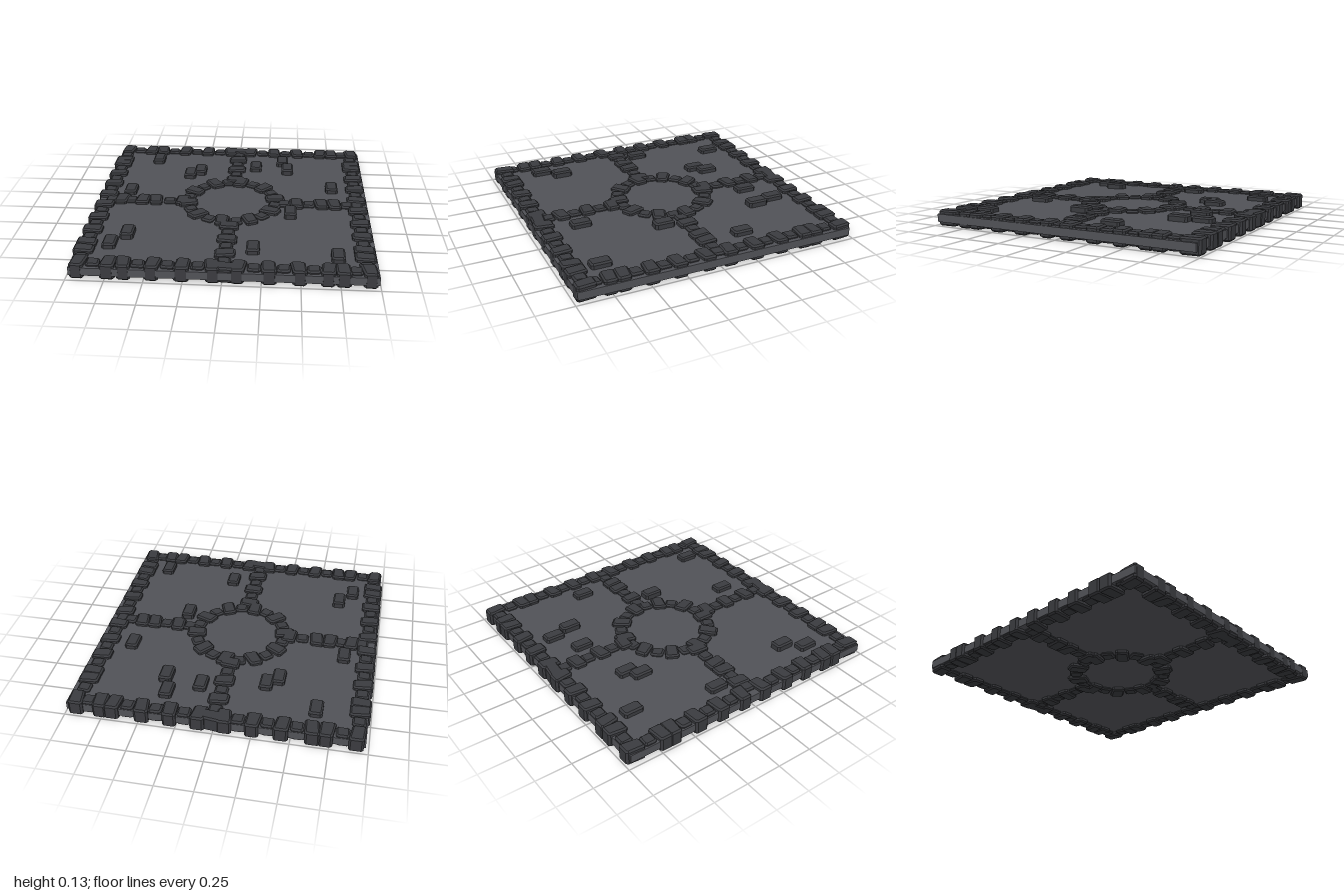
import * as THREE from 'three';

const stoneMat = new THREE.MeshStandardMaterial({ color: 0x3a3b3f, flatShading: true });
const slabMat = new THREE.MeshStandardMaterial({ color: 0x515257, flatShading: true });

// Chamfered block standing from y0 to y1; skew shears its long (z) ends, taper narrows one end
function blockGeometry(w, d, y0, y1, skew = 0, taper = 0, bevel = 0.011) {
  const hx = w / 2 - bevel, hz = d / 2 - bevel, c = 0.007;
  const outline = [
    [-hx + c, -hz], [hx - c, -hz], [hx, -hz + c], [hx, hz - c],
    [hx - c, hz], [-hx + c, hz], [-hx, hz - c], [-hx, -hz + c],
  ].map(([x, z]) => {
    const t = z / hz;
    return new THREE.Vector2(x * (1 + taper * t) + skew * t, z);
  });
  const geo = new THREE.ExtrudeGeometry(new THREE.Shape(outline), {
    depth: y1 - y0 - 2 * bevel, bevelEnabled: true, bevelSegments: 1,
    bevelSize: bevel, bevelThickness: bevel,
  });
  return geo.rotateX(-Math.PI / 2).translate(0, y0 + bevel, 0);
}

// A few stone shapes shared by all the courses
const large = [[0.006, 0.05], [-0.007, 0.06], [0.004, -0.07], [-0.004, -0.04]]
  .map(([s, t]) => blockGeometry(0.094, 0.136, 0.005, 0.115, s, t));
const small = [[0.002, 0.02], [-0.002, -0.03]]
  .map(([s, t]) => blockGeometry(0.087, 0.09, 0.014, 0.106, s, t));
const looseBrick = blockGeometry(0.09, 0.144, 0.06, 0.125);

function addStone(group, name, geo, x, z, angle = 0, y = 0) {
  const mesh = new THREE.Mesh(geo, stoneMat);
  mesh.name = name;
  mesh.position.set(x, y, z);
  mesh.rotation.y = angle;
  group.add(mesh);
}

// Lay one course: 'along' holds positions, 'kinds' holds L (large) or S (small)
function addCourse(parent, name, along, kinds, offset, alongX) {
  const group = new THREE.Group();
  group.name = name;
  along.forEach((p, i) => {
    const set = kinds[i] === 'L' ? large : small;
    const geo = set[(i * 3 + (i >> 2)) % set.length];
    if (alongX) addStone(group, 'stone', geo, p, offset);
    else addStone(group, 'stone', geo, offset, p, Math.PI / 2);
  });
  parent.add(group);
}

export function createModel() {
  const model = new THREE.Group();
  model.name = 'stoneFloorTile';

  // Base slab
  const slab = new THREE.Mesh(new THREE.BoxGeometry(1.97, 0.055, 1.955), slabMat);
  slab.name = 'slab';
  slab.position.set(0.005, 0.06, 0.005);
  model.add(slab);

  // Border courses, front/back then left/right
  const rowX = [-0.925, -0.83, -0.73, -0.635, -0.54, -0.445, -0.35, -0.255, -0.155, -0.065,
    0.1, 0.2, 0.295, 0.39, 0.485, 0.58, 0.675, 0.765, 0.845, 0.93];
  const rowKinds = 'LSLLSLSLSLLSLSLSLLSL';
  addCourse(model, 'backBorder', rowX, rowKinds, -0.925, true);
  addCourse(model, 'frontBorder', rowX, rowKinds, 0.915, true);
  const colZ = [-0.81, -0.715, -0.635, -0.54, -0.445, -0.35, -0.26, -0.16, -0.07,
    0.095, 0.195, 0.295, 0.39, 0.48, 0.58, 0.665, 0.755, 0.855];
  const colKinds = 'SLLSLSLSLLSLSLSLLS';
  addCourse(model, 'rightBorder', colZ, colKinds, -0.925, false);
  addCourse(model, 'leftBorder', colZ, colKinds, 0.915, false);

  // Stones where the cross meets the border
  const joints = new THREE.Group();
  joints.name = 'crossJoints';
  for (const z of [-0.935, 0.925]) addStone(joints, 'jointStone', large[0], 0.01, z, Math.PI / 2);
  for (const x of [-0.885, 0.91]) addStone(joints, 'jointStone', small[0], x, 0.01);
  model.add(joints);

  // Four arms of the cross
  addCourse(model, 'backArm', [-0.86, -0.76, -0.67, -0.57, -0.475, -0.375], 'SLSLSL', 0.005, false);
  addCourse(model, 'frontArm', [0.375, 0.47, 0.565, 0.66, 0.755, 0.85], 'LSLSLS', 0.005, false);
  addCourse(model, 'rightArm', [-0.81, -0.74, -0.655, -0.56, -0.455, -0.36], 'LSLLSL', 0.005, true);
  addCourse(model, 'leftArm', [0.385, 0.475, 0.565, 0.655, 0.75, 0.84], 'SLSLLS', 0.005, true);

  // Central ring
  const ring = new THREE.Group();
  ring.name = 'centralRing';
  const count = 20;
  for (let i = 0; i < count; i++) {
    const a = ((i + 0.5) / count) * Math.PI * 2;
    const geo = i % 2 ? large[(i >> 1) % 4] : small[(i >> 1) % 2];
    addStone(ring, 'ringStone', geo, Math.sin(a) * 0.32, -0.015 + Math.cos(a) * 0.32, a);
  }
  model.add(ring);

  // Loose bricks set into the slab: x, z, lift
  const loose = new THREE.Group();
  loose.name = 'looseBricks';
  for (const [x, z, lift] of [
    [-0.64, -0.74, 0], [0.365, -0.74, 0], [0.155, -0.63, 0], [0.405, -0.585, 0.008],
    [-0.28, -0.54, 0], [-0.355, -0.47, 0], [0.74, -0.27, 0], [-0.77, -0.15, 0],
    [0.43, 0.165, 0.008], [-0.675, 0.525, 0.008], [-0.77, 0.66, 0], [0.185, 0.675, 0], [0.74, 0.745, 0],
  ]) addStone(loose, 'looseBrick', looseBrick, x, z, 0, lift);
  model.add(loose);

  return model;
}
